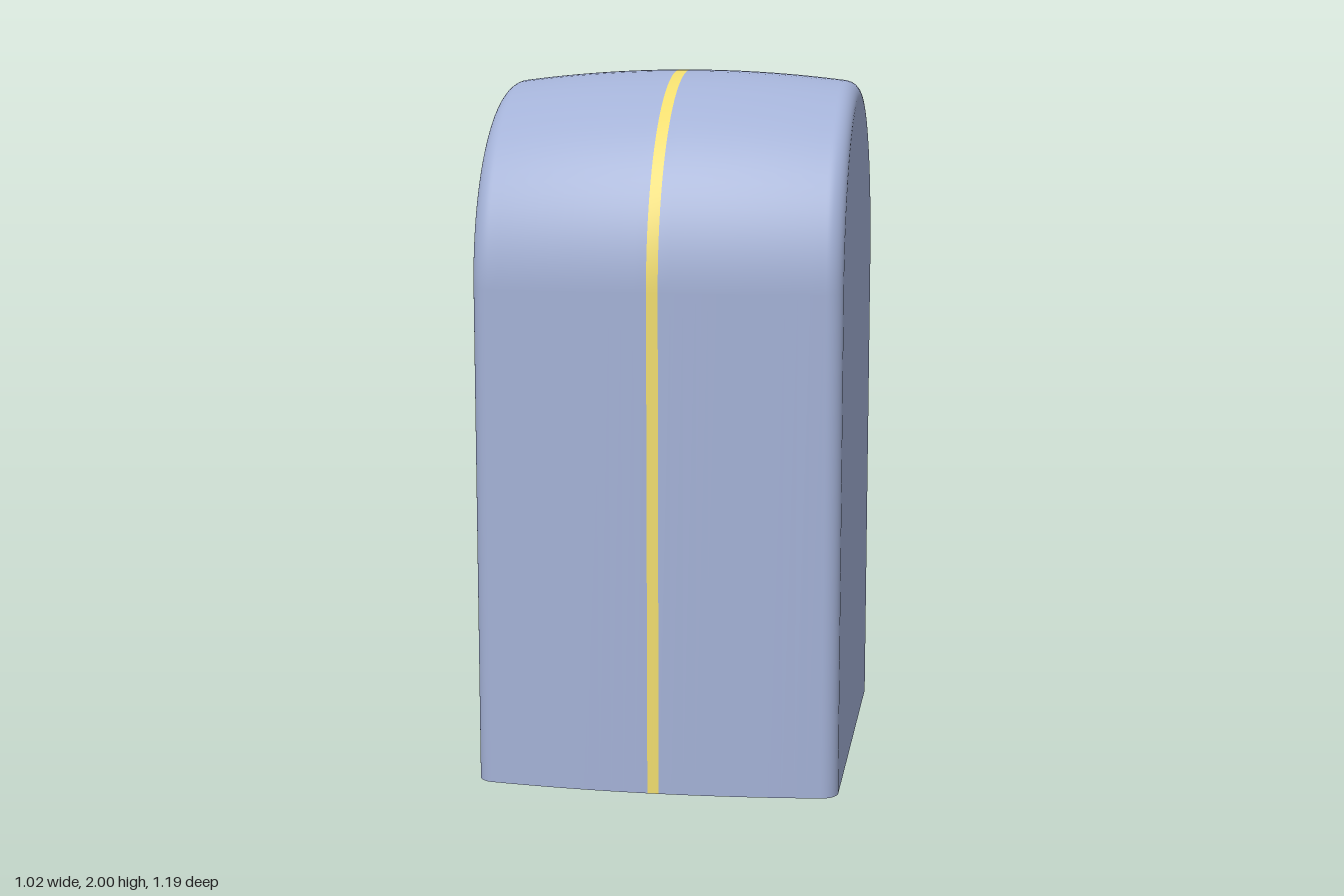
import * as THREE from 'three';
import { mergeGeometries } from 'three/addons/utils/BufferGeometryUtils.js';

const SPRING = 1.405; // height where the arch begins
const HALF_BAND = 0.016;
const ARC = 48;
const bulge = (x) => 0.595 - 0.03 * (x / 0.468) ** 2;

// Arched outline of radius r at x, from the front foot over the top to the back foot
function archRing(x, r) {
  const ring = [[x, 0, r]];
  for (let i = 0; i <= ARC; i++) {
    const t = (Math.PI * i) / ARC;
    ring.push([x, SPRING + r * Math.sin(t), r * Math.cos(t)]);
  }
  ring.push([x, 0, -r]);
  return ring;
}

function build(points, index) {
  const g = new THREE.BufferGeometry();
  g.setAttribute('position', new THREE.Float32BufferAttribute(points.flat(), 3));
  g.setIndex(index);
  g.computeVertexNormals();
  return g;
}

// Loft through arches; the profile is a list of [x, radius] with x increasing
function arch(profile) {
  const rings = profile.map(([x, r]) => archRing(x, r));
  const n = rings[0].length;
  const index = [];
  const floorIndex = [];
  for (let i = 0; i < rings.length - 1; i++) {
    for (let j = 0; j < n - 1; j++) {
      const a = i * n + j, b = a + n;
      index.push(a, b, b + 1, a, b + 1, a + 1);
    }
    const f = i * 2;
    floorIndex.push(f, f + 2, f + 3, f, f + 3, f + 1);
  }
  const floor = profile.flatMap(([x, r]) => [[x, 0, -r], [x, 0, r]]);
  return [build(rings.flat(), index), build(floor, floorIndex)];
}

// Flat arched wall closing one side
function sideWall([x, r]) {
  const points = [[x, 0, 0], ...archRing(x, r)];
  const index = [];
  for (let j = 1; j < points.length - 1; j++) {
    index.push(0, ...(x > 0 ? [j + 1, j] : [j, j + 1]));
  }
  return build(points, index);
}

export function createModel() {
  const group = new THREE.Group();
  const bodyMaterial = new THREE.MeshStandardMaterial({ color: 0xa3b1d6 });
  const bandMaterial = new THREE.MeshStandardMaterial({ color: 0xf0dc6e });

  // Half profile: gentle bulge, then a rounded edge into the side wall
  const half = [];
  for (let i = 0; i < 14; i++) {
    const x = HALF_BAND + ((0.462 - HALF_BAND) * i) / 13;
    half.push([x, bulge(x)]);
  }
  for (let i = 0; i <= 10; i++) {
    const t = THREE.MathUtils.degToRad(83 * (1 - i / 10));
    half.push([0.462 + 0.05 * Math.cos(t), 0.5155 + 0.05 * Math.sin(t)]);
  }
  const mirrored = half.map(([x, r]) => [-x, r]).reverse();

  for (const [name, profile, end] of [
    ['leftShell', half, half[half.length - 1]],
    ['rightShell', mirrored, mirrored[0]],
  ]) {
    const mesh = new THREE.Mesh(mergeGeometries([...arch(profile), sideWall(end)]), bodyMaterial);
    mesh.name = name;
    group.add(mesh);
  }

  // Flush stripe running all the way around the middle
  const r = bulge(HALF_BAND);
  const band = new THREE.Mesh(
    mergeGeometries(arch([[-HALF_BAND, r], [0, 0.595], [HALF_BAND, r]])),
    bandMaterial
  );
  band.name = 'centreBand';
  group.add(band);
  return group;
}
